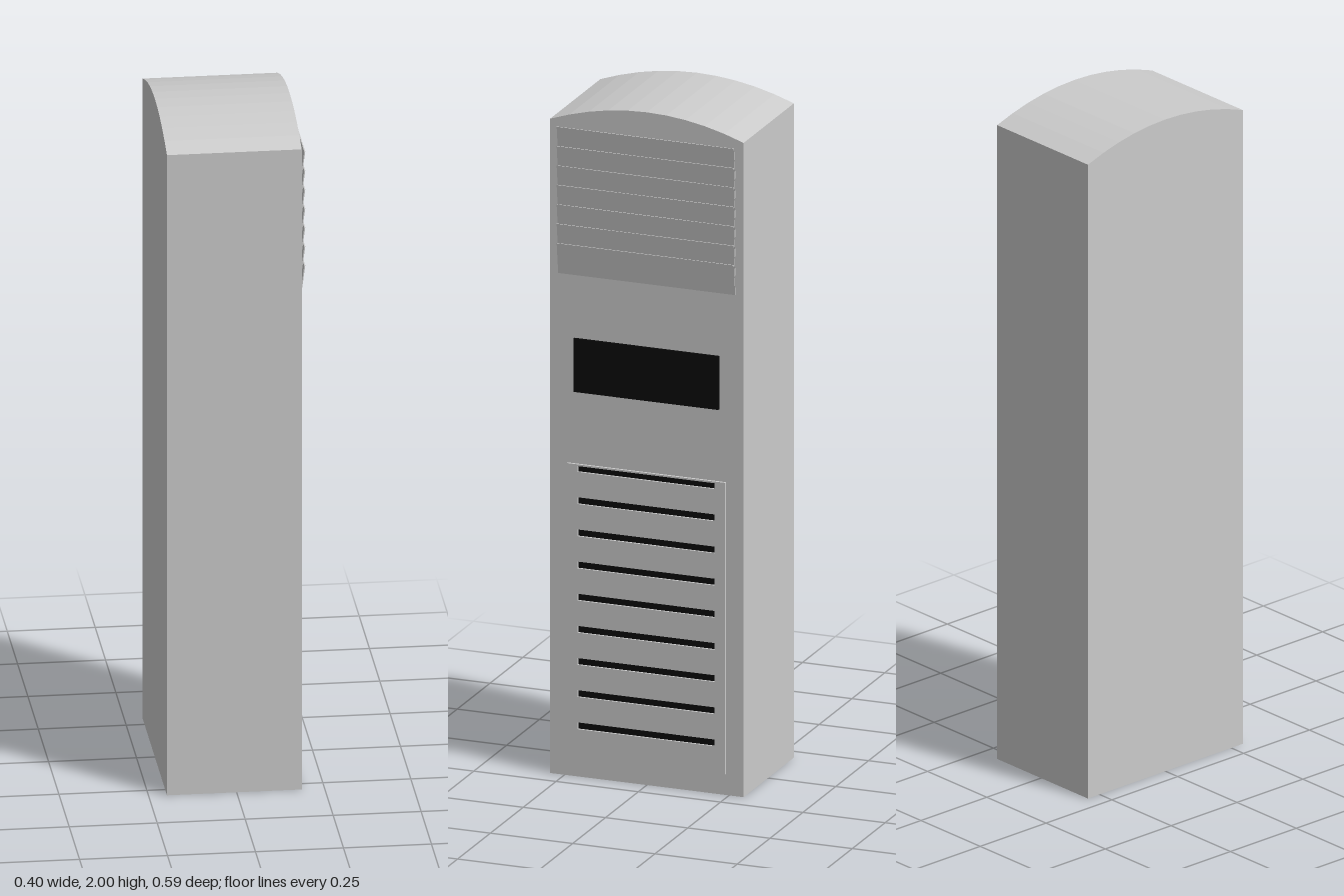
import * as THREE from 'three';

const FACE = 0.185; // x of the cabinet's detailed side
const grey = new THREE.MeshStandardMaterial({ color: 0xcccccc, flatShading: true });
const black = new THREE.MeshStandardMaterial({ color: 0x0a0a0a });

// Extrude an outline drawn in (z, y) from x0 to x1.
function extrudeX(shape, x0, x1, name) {
  const geo = new THREE.ExtrudeGeometry(shape, { depth: x1 - x0, bevelEnabled: false });
  geo.rotateY(Math.PI / 2);
  geo.translate(x0, 0, 0);
  const mesh = new THREE.Mesh(geo, grey);
  mesh.name = name;
  return mesh;
}

// Box spanning x0..x1 and y0..y1, centred on z.
function boxX(x0, x1, y0, y1, width, material, name) {
  const mesh = new THREE.Mesh(new THREE.BoxGeometry(x1 - x0, y1 - y0, width), material);
  mesh.position.set((x0 + x1) / 2, (y0 + y1) / 2, 0);
  mesh.name = name;
  return mesh;
}

function rectangle(target, halfWidth, y0, y1) {
  target.moveTo(-halfWidth, y0);
  target.lineTo(halfWidth, y0);
  target.lineTo(halfWidth, y1);
  target.lineTo(-halfWidth, y1);
  target.closePath();
  return target;
}

export function createModel() {
  const model = new THREE.Group();
  model.name = 'ventilatedCabinet';

  // Tall cabinet with a shallow arched roof
  const half = 0.294, eaves = 1.945, rise = 0.055, segments = 10;
  const outline = new THREE.Shape();
  outline.moveTo(-half, 0);
  outline.lineTo(half, 0);
  for (let i = 0; i <= segments; i++) {
    const t = 1 - (2 * i) / segments;
    outline.lineTo(half * t, eaves + rise * (1 - t * t));
  }
  outline.closePath();
  model.add(extrudeX(outline, -0.198, FACE, 'cabinet'));

  // Upper louvre: overlapping slats leaning outward at the top
  const louvre = new THREE.Group();
  louvre.name = 'upperLouvre';
  for (let i = 0; i < 7; i++) {
    const top = 1.928 - i * 0.0577;
    const slat = new THREE.Shape();
    slat.moveTo(FACE - 0.002, top - 0.092);
    slat.lineTo(FACE + 0.001, top - 0.092);
    slat.lineTo(0.198, top);
    slat.lineTo(0.195, top);
    slat.closePath();
    const geo = new THREE.ExtrudeGeometry(slat, { depth: 0.538, bevelEnabled: false });
    geo.translate(0, 0, -0.269);
    const mesh = new THREE.Mesh(geo, grey);
    mesh.name = 'slat';
    louvre.add(mesh);
  }
  model.add(louvre);

  // Dark display window
  model.add(boxX(FACE - 0.005, 0.192, 1.144, 1.303, 0.44, black, 'displayWindow'));

  // Lower vent panel with cut slots over a dark backing
  const panel = rectangle(new THREE.Shape(), 0.241, 0.063, 0.93);
  for (let i = 0; i < 9; i++) {
    const y = 0.153 + i * 0.0956;
    const top = Math.min(y + 0.01, 0.925);
    panel.holes.push(rectangle(new THREE.Path(), 0.208, y - 0.01, top));
  }
  model.add(extrudeX(panel, FACE - 0.002, 0.192, 'ventPanel'));
  model.add(boxX(FACE - 0.005, FACE + 0.001, 0.12, 0.928, 0.43, black, 'ventBacking'));

  return model;
}
